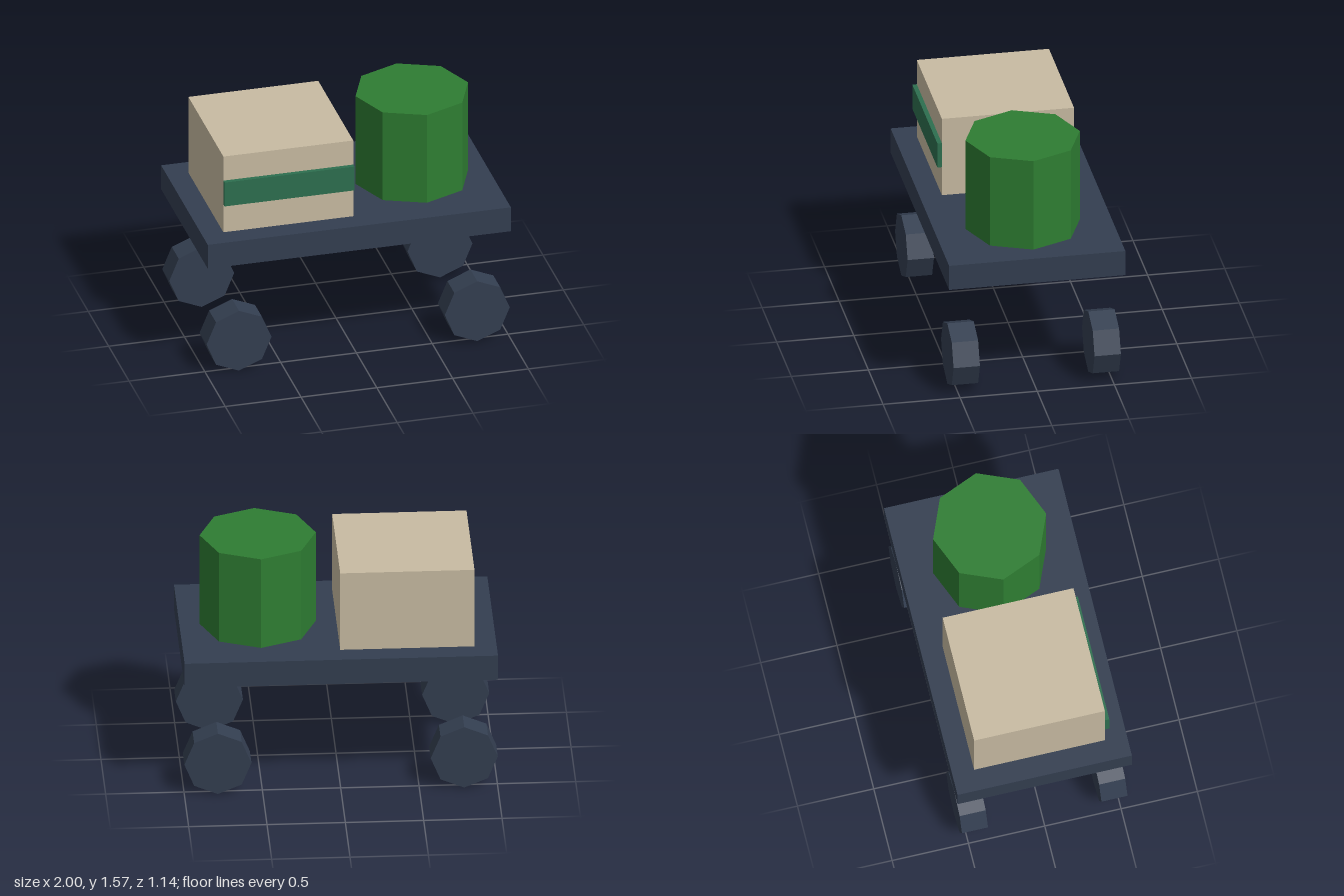
import * as THREE from 'three';

const mat = (name, color) => {
  const m = new THREE.MeshStandardMaterial({ color, flatShading: true });
  m.name = name;
  return m;
};

export function createModel() {
  const group = new THREE.Group();
  group.name = 'cargoCart';
  const slate = mat('slate', 0x333e50);
  const tan = mat('tan', 0xc8bba2);
  const green = mat('green', 0x2e7d32);
  const teal = mat('teal', 0x2d6f4f);

  const add = (name, geometry, material, x, y, z) => {
    const mesh = new THREE.Mesh(geometry, material);
    mesh.name = name;
    mesh.position.set(x, y, z);
    group.add(mesh);
    return mesh;
  };

  // Flat deck
  const deckTop = 0.945;
  add('deck', new THREE.BoxGeometry(2, 0.171, 1.143), slate, 0, deckTop - 0.0855, 0);

  // Crate with a raised band across its front
  add('crate', new THREE.BoxGeometry(0.857, 0.543, 0.857), tan, -0.43, deckTop + 0.2715, 0);
  add('crateBand', new THREE.BoxGeometry(0.857, 0.171, 0.029), teal, -0.43, 1.23, 0.443);

  // Eight-sided barrel
  add('barrel', new THREE.CylinderGeometry(0.371, 0.371, 0.629, 8), green, 0.5, deckTop + 0.3145, 0);

  // Four separate eight-sided wheels, axles along z
  const wheel = new THREE.CylinderGeometry(0.2143, 0.2143, 0.171, 8).rotateX(Math.PI / 2);
  for (const [sideZ, endName] of [[1, 'front'], [-1, 'back']]) {
    for (const [sideX, sideName] of [[1, 'Left'], [-1, 'Right']]) {
      add(endName + sideName + 'Wheel', wheel, slate, sideX * 0.786, 0.2143, sideZ * 0.457);
    }
  }

  return group;
}
